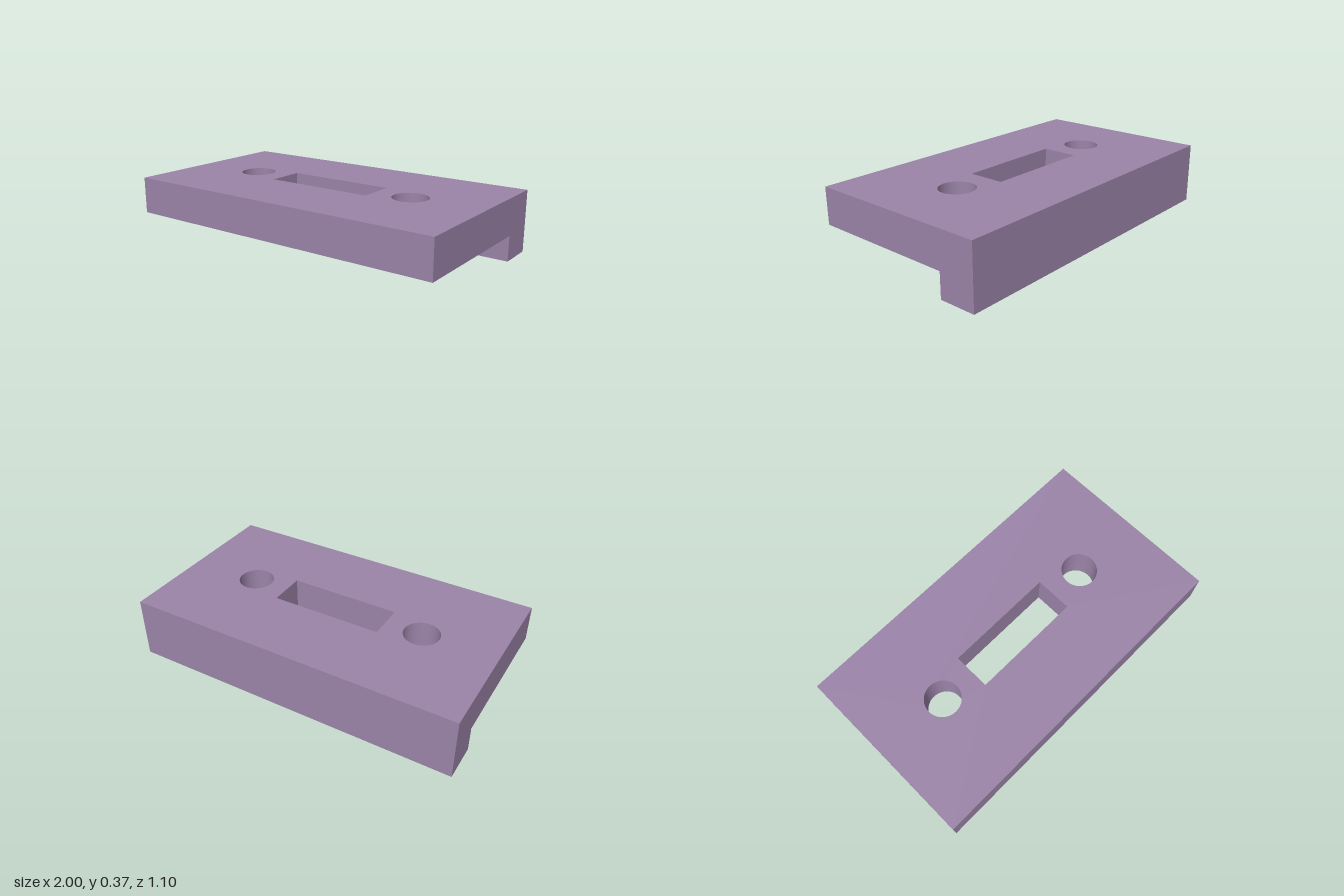
import * as THREE from 'three';
import { toCreasedNormals } from 'three/addons/utils/BufferGeometryUtils.js';

const WIDTH = 2, DEPTH = 1.1, HEIGHT = 0.37;
const LIP_HEIGHT = 0.15, LIP_DEPTH = 0.22;

// Closed rectangle centred on the origin
function rectangle(target, w, h) {
  target.moveTo(-w / 2, -h / 2);
  target.lineTo(w / 2, -h / 2);
  target.lineTo(w / 2, h / 2);
  target.lineTo(-w / 2, h / 2);
  target.closePath();
  return target;
}

export function createModel() {
  const group = new THREE.Group();
  group.name = 'slottedPlate';
  const material = new THREE.MeshStandardMaterial({ color: 0x9b84a9 });

  // Plate with a central slot and a round hole on either side
  const outline = rectangle(new THREE.Shape(), WIDTH, DEPTH);
  outline.holes.push(rectangle(new THREE.Path(), 0.667, 0.222));
  for (const side of [-1, 1]) {
    outline.holes.push(new THREE.Path().absarc(side * 0.555, 0, 0.105, 0, Math.PI * 2, true));
  }
  const extruded = new THREE.ExtrudeGeometry(outline, {
    depth: HEIGHT - LIP_HEIGHT,
    bevelEnabled: false,
    curveSegments: 48,
  });
  extruded.rotateX(-Math.PI / 2);
  const plate = new THREE.Mesh(toCreasedNormals(extruded, Math.PI / 6), material);
  plate.name = 'plate';
  plate.position.y = LIP_HEIGHT;
  group.add(plate);

  // Lip hanging below the back edge
  const lip = new THREE.Mesh(new THREE.BoxGeometry(WIDTH, LIP_HEIGHT, LIP_DEPTH), material);
  lip.name = 'backLip';
  lip.position.set(0, LIP_HEIGHT / 2, -DEPTH / 2 + LIP_DEPTH / 2);
  group.add(lip);

  return group;
}
